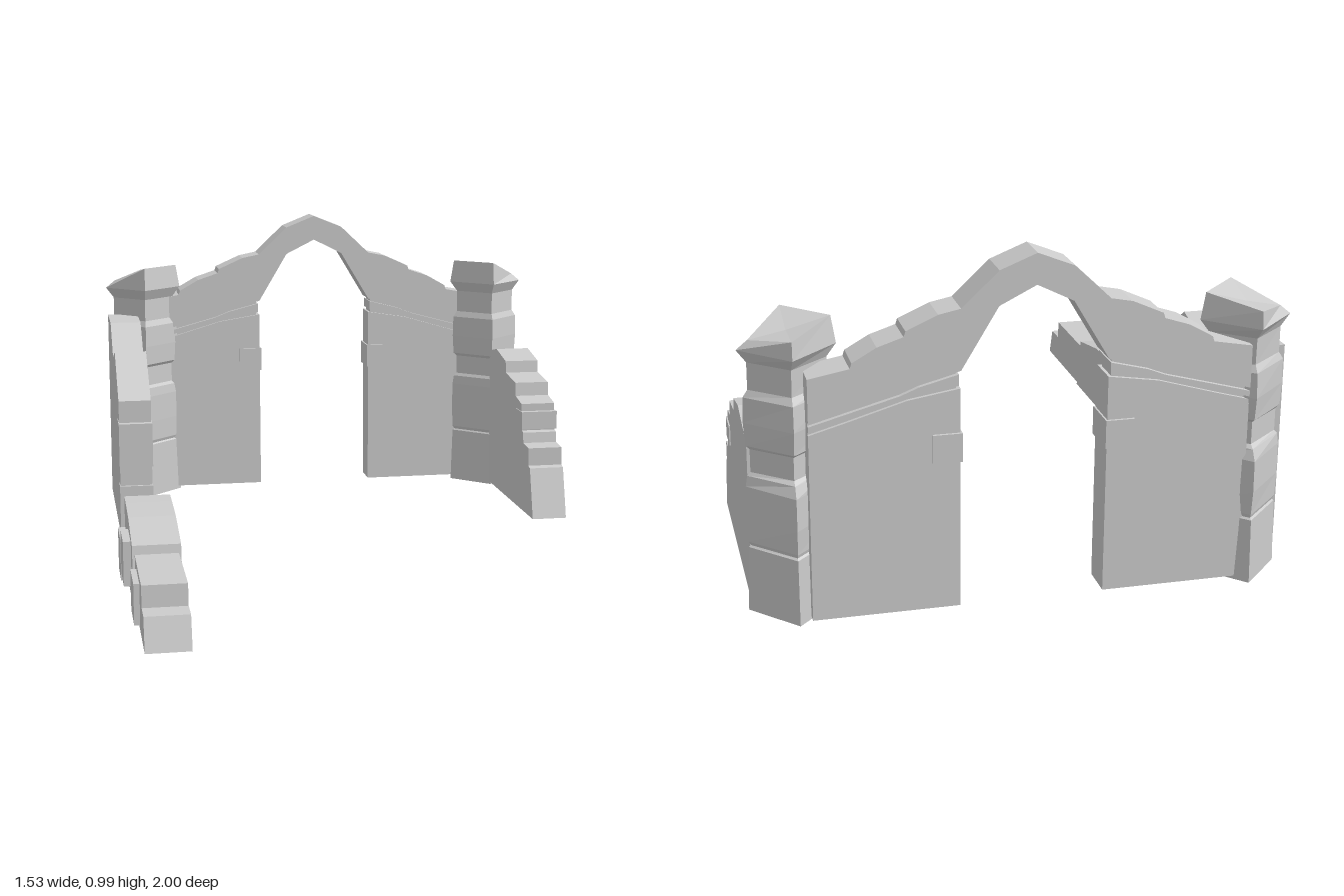
import * as THREE from 'three';

const material = new THREE.MeshStandardMaterial({ color: 0xcccccc, flatShading: true });

function add(parent, name, geometry) {
  const mesh = new THREE.Mesh(geometry, material);
  mesh.name = name;
  parent.add(mesh);
  return mesh;
}

function extrude(points, depth) {
  const shape = new THREE.Shape(points.map(([x, y]) => new THREE.Vector2(x, y)));
  return new THREE.ExtrudeGeometry(shape, { depth, bevelEnabled: false });
}

// outline in (x, y), running from z0 to z1
const slabZ = (points, z0, z1) => extrude(points, z1 - z0).translate(0, 0, z0);

// outline in (z, y), running from x0 to x1
const slabX = (points, x0, x1) => extrude(points, x1 - x0).translate(0, 0, -x1).rotateY(-Math.PI / 2);

// box given by its two extreme corners
function block(x0, x1, y0, y1, z0, z1) {
  return new THREE.BoxGeometry(x1 - x0, y1 - y0, z1 - z0)
    .translate((x0 + x1) / 2, (y0 + y1) / 2, (z0 + z1) / 2);
}

// Diamond-plan pillar: levels are [y, general radius, radius of the rear corner]
const LEVELS = [
  [0, 0.122, 0.125], [0.185, 0.116, 0.116], [0.19, 0.11, 0.108], [0.2, 0.116, 0.112],
  [0.27, 0.119, 0.12], [0.36, 0.118, 0.118], [0.39, 0.113, 0.1], [0.4, 0.104, 0.085],
  [0.465, 0.104, 0.085], [0.475, 0.115, 0.1], [0.54, 0.119, 0.108], [0.61, 0.117, 0.102],
  [0.63, 0.104, 0.086], [0.705, 0.104, 0.088], [0.74, 0.13, 0.122],
];

function pillarGeometry(side) {
  const dirs = [[1, 0], [0, -1], [-1, 0], [0, 1]];
  const outer = side < 0 ? 2 : 0;
  const rings = LEVELS.map(([y, r, rear]) =>
    dirs.map(([dx, dz], i) => {
      const k = i === 1 ? rear : r;
      return [dx * k, y, dz * k];
    }));
  // worn cap: the outer corner has crumbled, the middle is sunken
  rings.push(dirs.map(([dx, dz], i) => {
    const k = i === outer ? 0.1 : 0.117;
    return [dx * k, i === outer ? 0.765 : i === 1 ? 0.79 : 0.817, dz * k];
  }));
  const positions = [];
  const tri = (...corners) => corners.forEach((c) => positions.push(...c));
  for (let n = 0; n + 1 < rings.length; n++) {
    for (let i = 0; i < 4; i++) {
      const j = (i + 1) % 4, lo = rings[n], up = rings[n + 1];
      tri(lo[i], lo[j], up[j]);
      tri(lo[i], up[j], up[i]);
    }
  }
  const top = rings[rings.length - 1], base = rings[0];
  for (let i = 0; i < 4; i++) {
    const j = (i + 1) % 4;
    tri(top[i], top[j], [0, 0.785, 0]);
    tri(base[j], base[i], [0, 0, 0]);
  }
  const geometry = new THREE.BufferGeometry();
  geometry.setAttribute('position', new THREE.Float32BufferAttribute(positions, 3));
  geometry.computeVertexNormals();
  return geometry;
}

export function createModel() {
  const model = new THREE.Group();
  model.name = 'ruinedGateway';

  // Arch with broken top, mirrored from its +x half
  const outerLine = [[0.1, 0.945], [0.2, 0.85], [0.26, 0.838], [0.345, 0.8], [0.35, 0.785],
    [0.42, 0.762], [0.485, 0.725], [0.49, 0.71], [0.6, 0.69]];
  const innerLine = [[0.6, 0.57], [0.49, 0.6], [0.36, 0.635], [0.32, 0.655], [0.2, 0.682], [0.1, 0.85]];
  const half = [...outerLine, ...innerLine];
  const mirrored = half.map(([x, y]) => [-x, y]).reverse();
  const archWall = new THREE.Group();
  archWall.name = 'archWall';
  model.add(archWall);
  add(archWall, 'arch', slabZ([[0, 0.985], ...half, [0, 0.9], ...mirrored], -0.97, -0.86));

  for (const side of [-1, 1]) {
    const flip = (points) => points.map(([x, y]) => [x * side, y]);
    const label = side < 0 ? 'right' : 'left';

    // Door panel, recessed joint and moulding under the arch
    add(archWall, label + 'Panel', slabZ(flip([[0.2, 0.01], [0.6, 0.01], [0.6, 0.535],
      [0.5, 0.563], [0.34, 0.61], [0.2, 0.632]]), -0.965, -0.865));
    add(archWall, label + 'Joint', slabZ(flip([[0.21, 0.6], [0.6, 0.51], [0.6, 0.6],
      [0.49, 0.63], [0.21, 0.7]]), -0.955, -0.875));
    add(archWall, label + 'Moulding', slabZ(flip([[0.205, 0.641], [0.34, 0.619], [0.5, 0.572],
      [0.6, 0.544], [0.6, 0.56], [0.49, 0.59], [0.36, 0.625], [0.31, 0.645], [0.205, 0.672]]), -0.968, -0.862));

    // Brick wrapped round the door edge
    const x = [0.195 * side, 0.275 * side].sort((a, b) => a - b);
    add(archWall, label + 'EdgeBrick', block(x[0], x[1], 0.43, 0.51, -0.973, -0.857));

    // Corner pillar
    const pillar = add(model, label + 'Pillar', pillarGeometry(side));
    pillar.position.set(side < 0 ? -0.616 : 0.634, 0, side < 0 ? -0.873 : -0.845);
  }

  // Tall side wall with jagged top and two bricks at its end
  const tallWall = new THREE.Group();
  tallWall.name = 'tallSideWall';
  model.add(tallWall);
  add(tallWall, 'tallWall', slabX([[-0.15, 0.01], [-0.15, 0.46], [-0.35, 0.588], [-0.5, 0.548],
    [-0.64, 0.645], [-0.86, 0.645], [-0.86, 0.01]], -0.742, -0.64));
  add(tallWall, 'endBrick', block(-0.744, -0.638, 0.25, 0.39, -0.23, -0.125));
  add(tallWall, 'endBrick', block(-0.744, -0.638, 0.04, 0.185, -0.2, -0.14));

  // Stepped side wall
  const steppedWall = new THREE.Group();
  steppedWall.name = 'steppedSideWall';
  model.add(steppedWall);
  add(steppedWall, 'steppedWall', slabX([[-0.155, 0.01], [-0.2, 0.175], [-0.22, 0.18], [-0.22, 0.24],
    [-0.285, 0.245], [-0.29, 0.28], [-0.305, 0.285], [-0.3, 0.325], [-0.315, 0.33], [-0.315, 0.375],
    [-0.39, 0.39], [-0.395, 0.435], [-0.52, 0.45], [-0.525, 0.49], [-0.65, 0.515],
    [-0.8, 0.485], [-0.84, 0.48], [-0.84, 0.01]], 0.63, 0.746));
  add(steppedWall, 'stepBrick', block(0.627, 0.75, 0.29, 0.35, -0.38, -0.296));

  // Low broken wall at the front, in two courses with raised outer bricks
  const lowWall = new THREE.Group();
  lowWall.name = 'lowBrokenWall';
  model.add(lowWall);
  add(lowWall, 'lowWallRear', slabX([[0.18, 0.01], [0.62, 0.01], [0.585, 0.185], [0.4, 0.22],
    [0.26, 0.228], [0.18, 0.23]], -0.745, -0.608));
  add(lowWall, 'lowWallFront', slabX([[0.6, 0.01], [1, 0.01], [0.97, 0.1], [0.895, 0.1],
    [0.89, 0.16], [0.57, 0.16]], -0.738, -0.615));
  for (const [z0, z1, y0, y1, x] of [[0.2, 0.34, 0.015, 0.14, -0.767],
    [0.375, 0.52, 0.05, 0.18, -0.767], [0.66, 0.805, 0.025, 0.14, -0.754]]) {
    add(lowWall, 'raisedBrick', block(x, -0.7, y0, y1, z0, z1));
  }
  return model;
}
